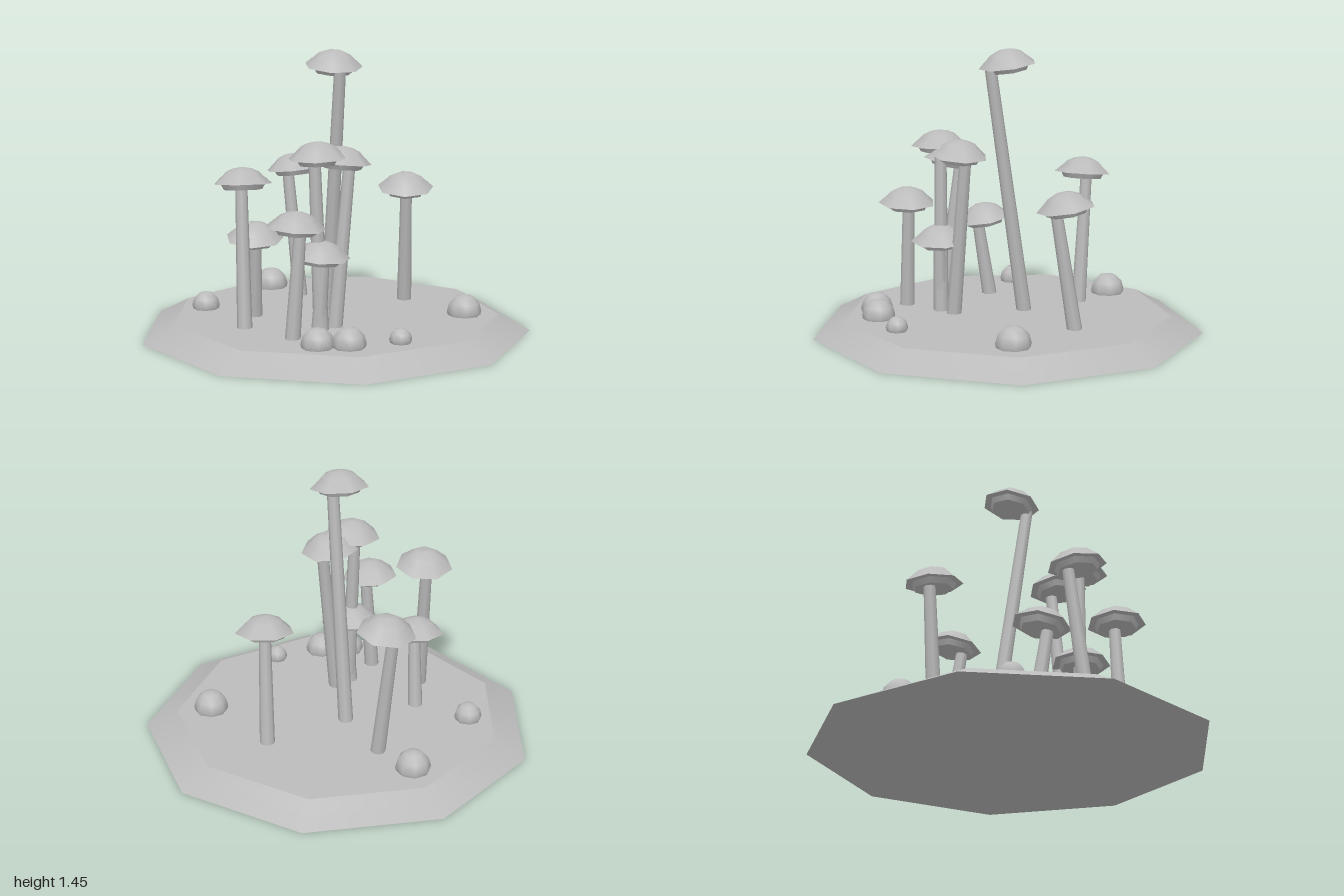
import * as THREE from 'three';

const grey = new THREE.MeshStandardMaterial({ color: 0xbbbbbb });
grey.name = 'stone grey';

function part(name, geometry, parent, x = 0, y = 0, z = 0) {
  const mesh = new THREE.Mesh(geometry, grey);
  mesh.name = name;
  mesh.position.set(x, y, z);
  parent.add(mesh);
  return mesh;
}

// [x, z, cap rim height, lean about x, lean about z]
const MUSHROOMS = [
  [0, -0.035, 1.37, 0.13, 0.07],
  [0.44, 0.08, 0.70, 0.11, 0.115],
  [0.17, -0.475, 0.775, -0.115, 0.015],
  [-0.495, -0.2, 0.81, -0.1, -0.08],
  [-0.5, 0.17, 0.635, 0.04, -0.06],
  [-0.305, 0.135, 0.95, -0.03, 0.02],
  [-0.16, 0.165, 0.915, 0.02, -0.11],
  [-0.3, 0.15, 0.455, 0.06, -0.03],
  [-0.335, -0.275, 0.5, 0.12, 0.1],
];

// [x, z, radius]
const PEBBLES = [
  [0.2, -0.68, 0.09], [-0.375, -0.6, 0.072], [-0.555, 0.36, 0.083],
  [-0.45, 0.47, 0.085], [0.42, 0.495, 0.09], [-0.22, 0.6, 0.056],
];

export function createModel() {
  const model = new THREE.Group();
  model.name = 'mushroomPatch';

  // nine-sided ground plate: bevelled rim and a softly shaded top
  const ground = new THREE.Group();
  ground.name = 'ground';
  ground.position.z = -0.03;
  model.add(ground);
  part('groundRim', new THREE.CylinderGeometry(0.93, 1.015, 0.042, 9), ground, 0, 0.021, 0);
  part('groundTop', new THREE.CylinderGeometry(0.85, 0.93, 0.043, 9), ground, 0, 0.0635, 0);

  // shared cap pieces
  const flange = new THREE.CylinderGeometry(0.115, 0.15, 0.032, 7);
  const gills = new THREE.CylinderGeometry(0.115, 0.1, 0.028, 7);
  const dome = new THREE.LatheGeometry(
    [[0.115, 0.03], [0.085, 0.06], [0.048, 0.077], [0, 0.085]].map(([r, y]) => new THREE.Vector2(r, y)), 7);

  for (const [x, z, h, rx, rz] of MUSHROOMS) {
    const mushroom = new THREE.Group();
    mushroom.name = 'mushroom';
    mushroom.position.set(x, 0, z);
    model.add(mushroom);

    // stem leans about its own middle
    const foot = 0.05;
    const stem = part('stem', new THREE.CylinderGeometry(0.03, 0.039, h - foot, 8), mushroom, 0, (h + foot) / 2, 0);
    stem.rotation.set(rx, 0, rz);

    const cap = new THREE.Group();
    cap.name = 'cap';
    cap.position.y = h;
    cap.rotation.set(rx, 0, rz);
    mushroom.add(cap);
    part('capFlange', flange, cap, 0, 0.016, 0);
    part('capGills', gills, cap, 0, -0.014, 0);
    part('capDome', dome, cap);
  }

  // rounded pebbles half sunk into the ground
  for (const [x, z, r] of PEBBLES) {
    part('pebble', new THREE.SphereGeometry(r, 8, 6), model, x, 0.104, z);
  }
  return model;
}
